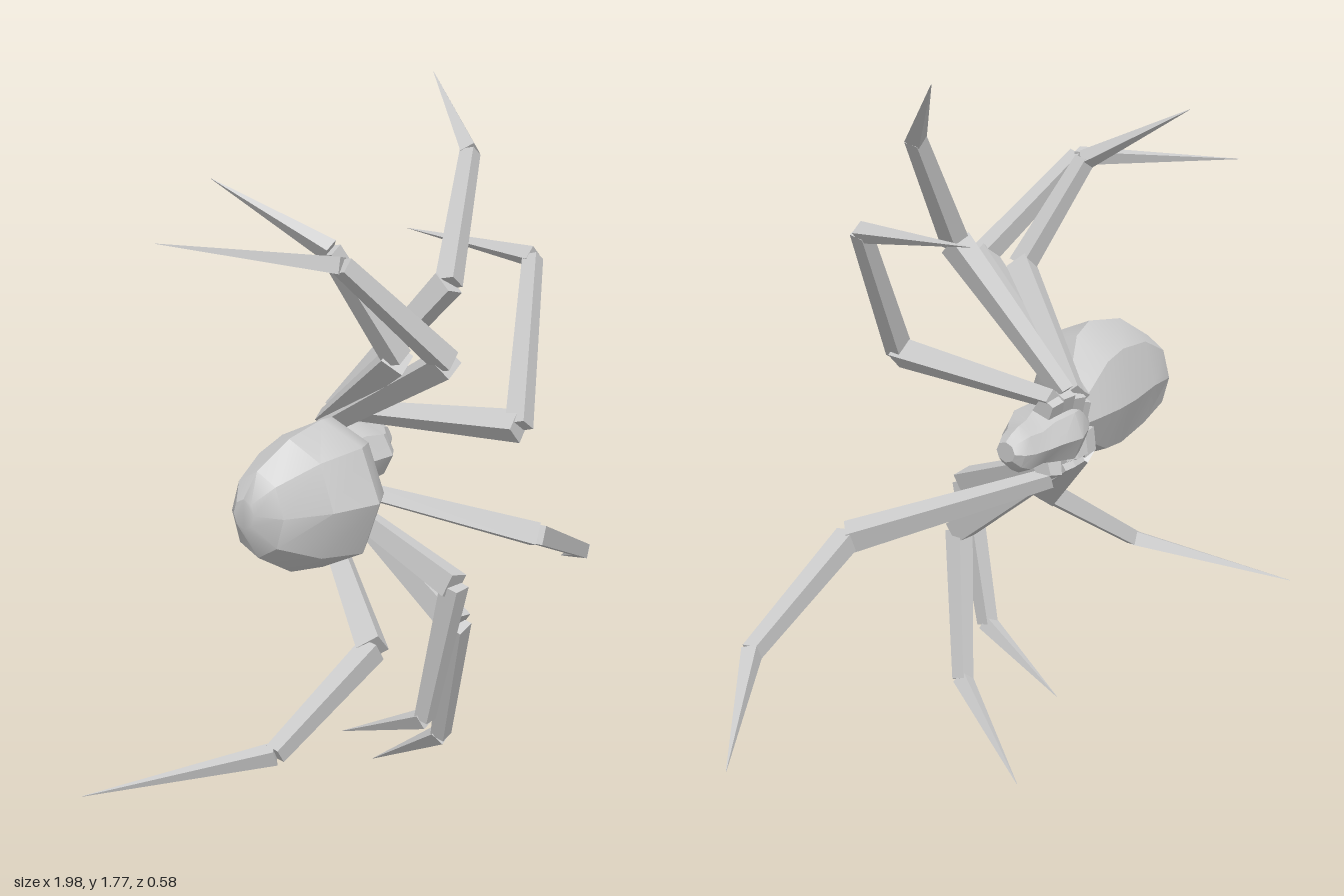
import * as THREE from 'three';
import { toCreasedNormals } from 'three/addons/utils/BufferGeometryUtils.js';

const material = new THREE.MeshStandardMaterial({ color: 0xcccccc });
const flat = new THREE.MeshStandardMaterial({ color: 0xcccccc, flatShading: true });
const SIDES = 8;

// Closed skin over rings given as [x, y, z, radiusY, radiusZ], ordered along +x
function loft(rings) {
  const pos = [], index = [];
  for (const [x, y, z, ry, rz] of rings) {
    for (let i = 0; i < SIDES; i++) {
      const a = (i / SIDES) * Math.PI * 2;
      pos.push(x, y + Math.cos(a) * ry, z + Math.sin(a) * rz);
    }
  }
  for (let r = 0; r < rings.length - 1; r++) {
    for (let i = 0; i < SIDES; i++) {
      const j = (i + 1) % SIDES, a = r * SIDES, b = a + SIDES;
      index.push(a + i, a + j, b + i, a + j, b + j, b + i);
    }
  }
  // end caps
  const last = (rings.length - 1) * SIDES;
  for (let i = 1; i < SIDES - 1; i++) {
    index.push(0, i + 1, i, last, last + i, last + i + 1);
  }
  const g = new THREE.BufferGeometry();
  g.setAttribute('position', new THREE.Float32BufferAttribute(pos, 3));
  g.setIndex(index);
  return toCreasedNormals(g, 0.5);
}

function part(name, geometry, mat = material) {
  const mesh = new THREE.Mesh(geometry, mat);
  mesh.name = name;
  return mesh;
}

// Square tapered bar between two points, one pair of faces kept upright along z
function bar(name, a, b, widthA, widthB) {
  const dir = b.clone().sub(a);
  const length = dir.length();
  dir.normalize();
  const g = new THREE.CylinderGeometry(widthB * Math.SQRT1_2, widthA * Math.SQRT1_2, length, 4, 1);
  g.rotateY(Math.PI / 4);
  const side = new THREE.Vector3().crossVectors(dir, new THREE.Vector3(0, 0, 1)).normalize();
  const up = new THREE.Vector3().crossVectors(side, dir);
  g.applyMatrix4(new THREE.Matrix4().makeBasis(side, dir, up));
  const mid = a.clone().add(b).multiplyScalar(0.5);
  g.translate(mid.x, mid.y, mid.z);
  return part(name, g, flat);
}

// Each leg: hip, knee, ankle, tip
const LEGS = {
  leftFrontLeg: [[-0.04, 0.965, -0.24], [-0.02, 0.985, 0.27], [0.215, 1.35, 0.15], [0.245, 1.385, -0.25]],
  leftSecondLeg: [[-0.08, 0.975, -0.24], [-0.005, 1.305, 0.055], [0.205, 1.595, -0.03], [0.385, 1.77, -0.27]],
  leftThirdLeg: [[-0.13, 0.96, -0.23], [-0.32, 1.18, 0.135], [-0.475, 1.44, 0.065], [-0.565, 1.59, -0.2]],
  leftBackLeg: [[-0.16, 0.94, -0.22], [-0.31, 1.185, 0.265], [-0.56, 1.425, 0.165], [-0.7, 1.455, -0.25]],
  rightFrontLeg: [[-0.035, 0.77, -0.24], [0.315, 0.62, 0.1], [0.71, 0.47, -0.005], [0.99, 0.35, -0.25]],
  rightSecondLeg: [[-0.105, 0.79, -0.23], [-0.13, 0.505, 0.17], [-0.015, 0.165, 0.04], [0.085, 0.005, -0.25]],
  rightThirdLeg: [[-0.15, 0.79, -0.22], [-0.185, 0.62, 0.2], [-0.16, 0.26, 0.095], [-0.12, 0.155, -0.19]],
  rightBackLeg: [[-0.19, 0.79, -0.21], [-0.46, 0.53, 0.165], [-0.735, 0.345, 0.1], [-0.99, 0.245, -0.25]],
};

function makeLeg(name, points) {
  const [hip, knee, ankle, tip] = points.map((p) => new THREE.Vector3(...p));
  const root = new THREE.Vector3(hip.x * 0.8 - 0.02, 0.87 + (hip.y - 0.87) * 0.3, -0.2);
  const leg = new THREE.Group();
  leg.name = name;
  leg.add(
    bar('hipJoint', root, hip, 0.06, 0.04),
    bar('upperLeg', hip, knee, 0.036, 0.058),
    bar('lowerLeg', knee, ankle, 0.05, 0.038),
    bar('foot', ankle, tip, 0.038, 0.001),
  );
  return leg;
}

export function createModel() {
  const model = new THREE.Group();
  model.name = 'spider';

  // Bulbous abdomen, rising towards the tail
  model.add(part('abdomen', loft([
    [-0.68, 0.865, -0.025, 0.035, 0.03],
    [-0.65, 0.86, -0.01, 0.1, 0.075],
    [-0.56, 0.865, 0.01, 0.155, 0.125],
    [-0.43, 0.865, 0.0, 0.175, 0.165],
    [-0.34, 0.865, -0.04, 0.16, 0.15],
    [-0.25, 0.865, -0.105, 0.1, 0.1],
    [-0.17, 0.865, -0.165, 0.05, 0.05],
  ])));

  // Head and chest in one shell
  model.add(part('headAndChest', loft([
    [-0.21, 0.865, -0.16, 0.045, 0.045],
    [-0.17, 0.865, -0.175, 0.07, 0.065],
    [-0.1, 0.865, -0.19, 0.082, 0.095],
    [-0.03, 0.865, -0.19, 0.07, 0.095],
    [0.02, 0.865, -0.21, 0.055, 0.08],
    [0.07, 0.865, -0.235, 0.058, 0.055],
    [0.1, 0.867, -0.24, 0.045, 0.045],
    [0.12, 0.87, -0.24, 0.025, 0.03],
  ])));

  for (const [name, points] of Object.entries(LEGS)) model.add(makeLeg(name, points));
  return model;
}
